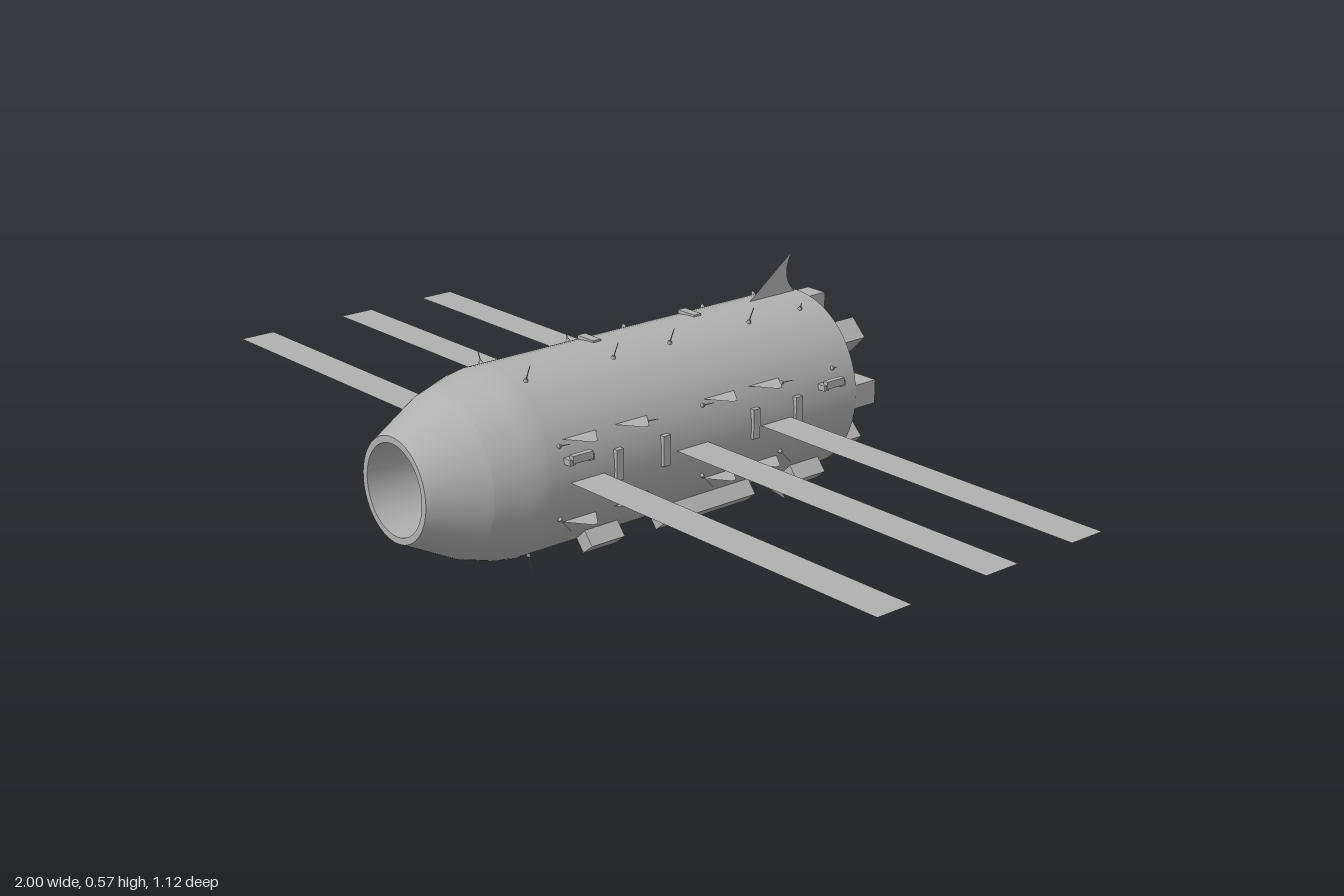
import * as THREE from 'three';

const CY = 0.29;      // height of the hull axis
const R = 0.195;      // hull radius
const FLAT = 0.955;   // hull is slightly narrower sideways

export function createModel() {
  const model = new THREE.Group();
  const grey = new THREE.MeshStandardMaterial({ color: 0xb0b0b0, side: THREE.DoubleSide });
  grey.name = 'hull grey';

  const craft = new THREE.Group();
  craft.name = 'spacecraft';
  craft.position.y = CY;
  model.add(craft);

  const add = (name, geo, x = 0, y = 0, z = 0, roll = 0) => {
    const m = new THREE.Mesh(geo, grey);
    m.name = name;
    m.position.set(x, y, z);
    m.rotation.z = roll;
    craft.add(m);
    return m;
  };
  const box = (name, w, h, d, x, y, z, roll) => add(name, new THREE.BoxGeometry(w, h, d), x, y, z, roll);

  // Revolved hull sections, as [radius, z]; separate sections keep sharp edges
  const revolve = (name, pts) => {
    const g = new THREE.LatheGeometry(pts.map(([r, z]) => new THREE.Vector2(r, z)), 64);
    g.rotateX(Math.PI / 2).scale(FLAT, 1, 1);
    return add(name, g);
  };
  revolve('rearChamfer', [[0.165, -0.525], [R, -0.5]]);
  revolve('hull', [[R, -0.5], [R, 0.32]]);
  revolve('shoulder', [[R, 0.32], [0.195, 0.335], [0.189, 0.37], [0.168, 0.44]]);
  revolve('nose', [[0.168, 0.44], [0.108, 0.558]]);
  revolve('noseLip', [[0.108, 0.558], [0.094, 0.558]]);
  revolve('noseBore', [[0.094, 0.558], [0.094, 0.3]]);
  revolve('boreEnd', [[0.094, 0.3], [0, 0.3]]);
  revolve('rearRim', [[0.15, -0.525], [0.165, -0.525]]);
  revolve('rearWell', [[0.15, -0.5], [0.15, -0.525]]);
  revolve('rearPlate', [[0, -0.5], [0.15, -0.5]]);

  // Rear hub and spokes
  const hub = new THREE.CylinderGeometry(0.028, 0.022, 0.028, 24);
  hub.rotateX(Math.PI / 2);
  add('rearHub', hub, 0, 0, -0.512);
  for (let i = 0; i < 12; i++) {
    const a = (i + 0.5) * Math.PI / 6;
    box('rearSpoke', 0.13, 0.01, 0.02, Math.cos(a) * 0.085, Math.sin(a) * 0.085, -0.51, a);
  }

  // Ring of rear thruster blocks
  for (let i = 0; i < 8; i++) {
    const a = i * Math.PI / 4;
    box('thrusterBlock', 0.062, 0.052, 0.06, Math.cos(a) * 0.153, Math.sin(a) * 0.153, -0.53, a);
  }

  // Thin swept tail fins above and below
  const fin = new THREE.Shape();
  fin.moveTo(0.355, 0.19);
  fin.lineTo(0.485, 0.285);
  fin.quadraticCurveTo(0.45, 0.235, 0.492, 0.195);
  fin.lineTo(0.492, 0.185);
  for (const s of [1, -1]) {
    const g = new THREE.ShapeGeometry(fin, 12);
    g.rotateY(Math.PI / 2);
    add(s > 0 ? 'upperFin' : 'lowerFin', g).scale.y = s;
  }

  // Antenna spikes in five rings
  for (const z of [0.293, 0.073, -0.075, -0.293, -0.44]) {
    const len = z < -0.4 ? 0.02 : 0.042;
    for (let i = 0; i < 8; i++) {
      const a = (i + 0.5) * Math.PI / 4;
      const r = R - 0.004;
      const put = (name, geo, d) =>
        add(name, geo, Math.cos(a) * (r + d) * FLAT, Math.sin(a) * (r + d), z, a - Math.PI / 2);
      put('antennaSpike', new THREE.CylinderGeometry(0.0008, 0.0015, len, 6), len / 2);
      put('antennaBase', new THREE.CylinderGeometry(0.003, 0.006, 0.01, 8), 0.005);
    }
  }

  for (const s of [1, -1]) {
    // Long flat solar panels
    for (const z of [0.235, -0.037, -0.267]) {
      const g = new THREE.PlaneGeometry(0.82, 0.084);
      g.rotateX(-Math.PI / 2);
      add('solarPanel', g, s * 0.59, 0, z);
    }

    // Small triangular vanes above and below the panels
    const vane = new THREE.Shape();
    vane.moveTo(0, -0.042);
    vane.lineTo(0.05, -0.006);
    vane.lineTo(0.05, 0.006);
    vane.lineTo(0, 0.042);
    for (const z of [0.24, 0.11, -0.123, -0.247]) {
      for (const y of [0.085, -0.085]) {
        const g = new THREE.ShapeGeometry(vane);
        g.rotateX(-Math.PI / 2);
        add('sideVane', g, s * 0.167, y, z).scale.x = s;
      }
    }

    // Upright side plates
    for (const z of [0.157, 0.036, -0.207, -0.327]) {
      box('sidePlate', 0.022, 0.064, 0.018, s * 0.182, 0.01, z);
    }

    // Handles near the ends
    for (const z of [0.257, -0.423]) {
      box('handleBar', 0.012, 0.016, 0.05, s * 0.196, 0.052, z);
      for (const d of [-0.024, 0.024]) {
        box('handleFoot', 0.03, 0.012, 0.014, s * 0.184, 0.046, z + d);
      }
    }

    // Lower equipment boxes
    for (const [z, d] of [[0.158, 0.085], [-0.115, 0.25], [-0.402, 0.083]]) {
      box('equipmentBox', 0.05, 0.035, d, s * 0.128, -0.154, z, s * -0.88);
    }
  }

  // Low pads along the top
  for (const z of [0.06, -0.21]) {
    box('topPad', 0.05, 0.008, 0.02, -0.02, R, z);
  }
  return model;
}
